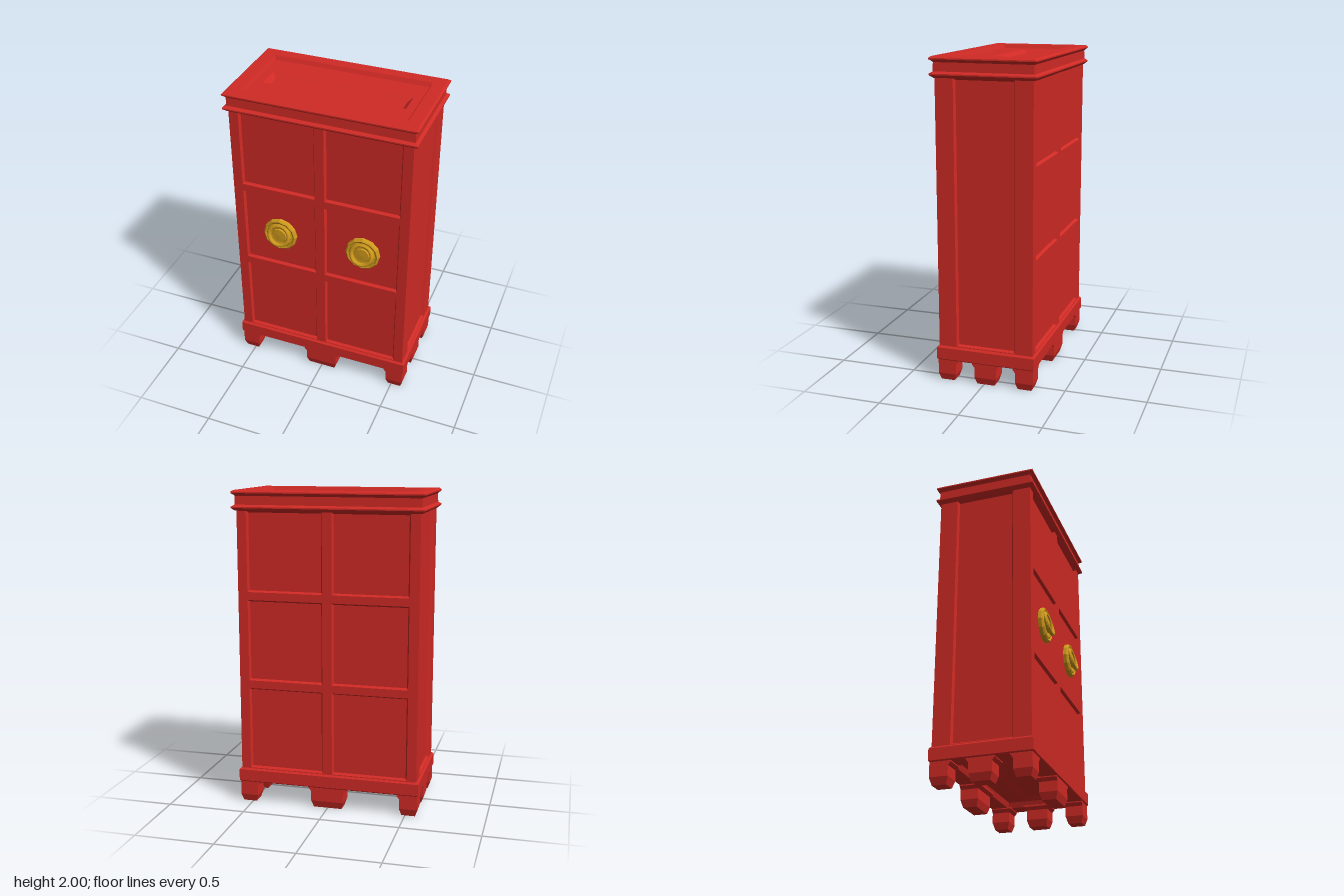
import * as THREE from 'three';

const RED = new THREE.MeshStandardMaterial({ color: 0xd02a25 });
const BRASS = new THREE.MeshStandardMaterial({ color: 0xd09a1c, flatShading: true });
const Z_MID = -0.012; // the case sits slightly back, the handles stick out in front

// Flat-faced loft through rectangles [centreX, centreY, halfX, halfY, z]
function loft(rings, bottomCap = true) {
  const pts = rings.map(([cx, cy, hx, hy, z]) => [
    [cx - hx, cy - hy, z], [cx + hx, cy - hy, z], [cx + hx, cy + hy, z], [cx - hx, cy + hy, z],
  ]);
  const pos = [];
  const quad = (a, b, c, d) => pos.push(...a, ...b, ...c, ...a, ...c, ...d);
  for (let k = 0; k + 1 < pts.length; k++) {
    for (let i = 0; i < 4; i++) {
      const j = (i + 1) % 4;
      quad(pts[k][i], pts[k][j], pts[k + 1][j], pts[k + 1][i]);
    }
  }
  quad(...pts[pts.length - 1]);
  if (bottomCap) quad(...[...pts[0]].reverse());
  const geo = new THREE.BufferGeometry();
  geo.setAttribute('position', new THREE.Float32BufferAttribute(pos, 3));
  geo.computeVertexNormals();
  return geo;
}

function addMesh(parent, name, geometry, material = RED) {
  const mesh = new THREE.Mesh(geometry, material);
  mesh.name = name;
  parent.add(mesh);
  return mesh;
}

// Loft turned upright: rectangles lie level and z becomes height
const upright = (rings) => loft(rings).rotateX(-Math.PI / 2);

// One wall of the case: flat frame with bevelled recessed panels [x0, x1, y0, y1]
function wall(name, halfWidth, y0, y1, panels) {
  const group = new THREE.Group();
  group.name = name;
  const rect = (path, a, b, c, d) => path.moveTo(a, c).lineTo(b, c).lineTo(b, d).lineTo(a, d).closePath();
  const frame = new THREE.Shape();
  rect(frame, -halfWidth, halfWidth, y0, y1);
  for (const [a, b, c, d] of panels) {
    const hole = new THREE.Path();
    rect(hole, a, b, c, d);
    frame.holes.push(hole);
    const cx = (a + b) / 2, cy = (c + d) / 2, hx = (b - a) / 2, hy = (d - c) / 2;
    addMesh(group, 'recessedPanel',
      loft([[cx, cy, hx, hy, 0], [cx, cy, hx - 0.01, hy - 0.01, -0.018]], false));
  }
  addMesh(group, 'panelFrame', new THREE.ShapeGeometry(frame));
  return group;
}

// Bracket foot: tapered at the bottom, flared at the top away from the outer edges
function foot(cx, cy, hx, hy, sx, sy) {
  const f = 0.016;
  const top = [cx - sx * f / 2, cy - sy * f / 2, hx + f / (sx ? 2 : 1), hy + f / (sy ? 2 : 1)];
  return upright([
    [cx, cy, hx - 0.014, hy - 0.014, 0],
    [cx, cy, hx, hy, 0.045],
    [cx, cy, hx, hy, 0.108],
    [...top, 0.128],
    [...top, 0.14],
  ]);
}

// Round back plate with a tilted ring
function handle(x) {
  const group = new THREE.Group();
  group.name = 'handle';
  const profile = [
    [0.11, -0.03], [0.11, 0.004], [0.1, 0.012], [0.088, 0.007],
    [0.078, 0.012], [0.05, 0.008], [0.045, 0.016], [0, 0.018],
  ].map(([r, h]) => new THREE.Vector2(r, h));
  addMesh(group, 'backPlate', new THREE.LatheGeometry(profile, 12).rotateX(Math.PI / 2), BRASS);
  const ring = addMesh(group, 'pullRing', new THREE.TorusGeometry(0.066, 0.013, 8, 24), BRASS);
  ring.position.set(0, 0.005, 0.02);
  ring.rotation.x = -0.22;
  group.position.set(x, 1.05, 0.288);
  return group;
}

export function createModel() {
  const model = new THREE.Group();
  const cabinet = new THREE.Group();
  cabinet.name = 'cabinet';
  cabinet.position.z = Z_MID;
  model.add(cabinet);

  // Case: four panelled walls
  const broadPanels = [];
  for (const [c, d] of [[0.23, 0.76], [0.81, 1.325], [1.375, 1.875]]) {
    broadPanels.push([-0.51, -0.03, c, d], [0.03, 0.51, c, d]);
  }
  [['frontWall', 0], ['backWall', Math.PI]].forEach(([name, turn]) => {
    const w = wall(name, 0.57, 0.2, 1.9, broadPanels);
    w.rotation.y = turn;
    w.position.z = 0.3 * Math.cos(turn);
    cabinet.add(w);
  });
  for (const side of [1, -1]) {
    const w = wall(side > 0 ? 'leftWall' : 'rightWall', 0.3, 0.2, 1.9, [[-0.187, 0.187, 0.23, 1.875]]);
    w.rotation.y = side * Math.PI / 2;
    w.position.x = side * 0.57;
    cabinet.add(w);
  }

  // Plinth with a hollow underside
  addMesh(cabinet, 'plinth', upright([
    [0, 0, 0.415, 0.045, 0.19], [0, 0, 0.445, 0.075, 0.17],
    [0, 0, 0.46, 0.19, 0.17], [0, 0, 0.47, 0.2, 0.135],
    [0, 0, 0.578, 0.306, 0.135], [0, 0, 0.585, 0.313, 0.142],
    [0, 0, 0.585, 0.313, 0.215], [0, 0, 0.575, 0.303, 0.225],
  ]));

  // Cornice: two lips outside, then a sunken top with a central trough
  const lips = [[0.02, 1.875], [0.012, 1.882], [0, 1.892], [0, 1.9], [0.018, 1.912],
    [0.02, 1.965], [0.012, 1.974], [0, 1.982], [0, 1.99], [0.012, 2]];
  addMesh(cabinet, 'cornice', upright([
    ...lips.map(([inset, y]) => [0, 0, 0.597 - inset, 0.325 - inset, y]),
    [0, 0, 0.51, 0.24, 2], [0, 0, 0.496, 0.226, 1.975],
    [0, 0, 0.445, 0.075, 1.975], [0, 0, 0.415, 0.045, 1.95],
  ]));

  // Feet: four corners and the middle of each side
  for (const sx of [-1, 0, 1]) {
    for (const sy of [-1, 0, 1]) {
      if (!sx && !sy) continue;
      addMesh(cabinet, sx && sy ? 'cornerFoot' : 'middleFoot', foot(
        sx * 0.521, sy * 0.249, sx ? 0.057 : 0.105, sy ? 0.057 : 0.07, sx, sy));
    }
  }

  // Door handles
  for (const x of [-0.27, 0.28]) model.add(handle(x));
  return model;
}
